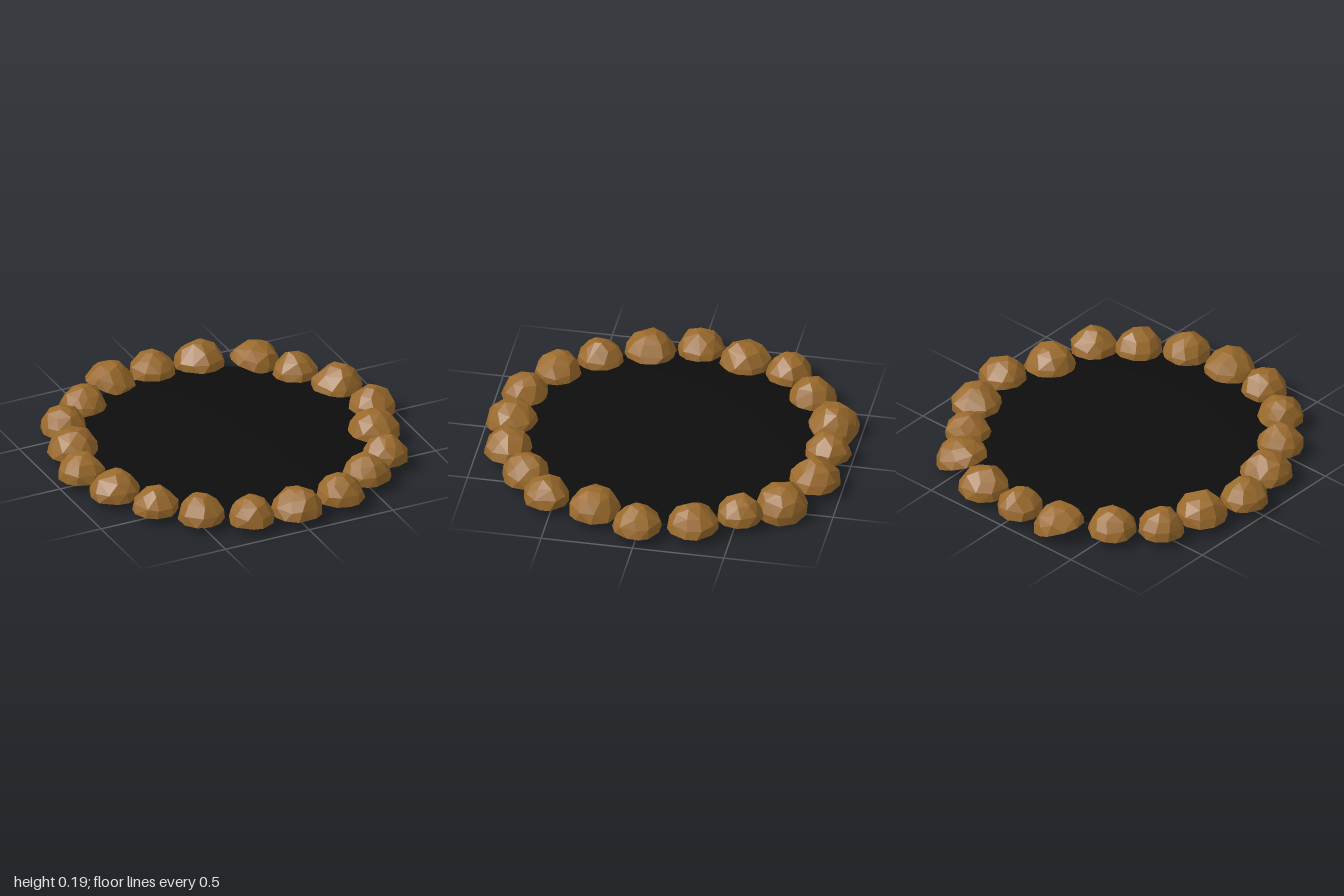
import * as THREE from 'three';
import { ConvexGeometry } from 'three/addons/geometries/ConvexGeometry.js';

const stoneMaterial = new THREE.MeshStandardMaterial({ color: 0x9a6a2c, flatShading: true });
const ashMaterial = new THREE.MeshStandardMaterial({ color: 0x0d0d0d });

// Seeded jitter in the range -1..1
function jitter(seed) {
  let s = seed * 7919 + 17;
  return () => {
    s = (s * 16807) % 2147483647;
    return (s / 2147483647) * 2 - 1;
  };
}

// Half-round faceted rock of unit radius with a flat base at y = 0
function rockGeometry(seed) {
  const rnd = jitter(seed);
  for (let i = 0; i < 5; i++) rnd();
  const points = [];
  // [height, radius, corners, roughness]
  const rings = [[0, 0.98, 11, 0.03], [0.36, 0.92, 9, 0.05], [0.72, 0.64, 7, 0.06], [0.95, 0.27, 4, 0.05]];
  for (const [y, r, n, rough] of rings) {
    const turn = rnd() * Math.PI;
    for (let i = 0; i < n; i++) {
      const a = turn + ((i + rnd() * 0.22) / n) * Math.PI * 2;
      const rr = r + rnd() * rough;
      points.push(new THREE.Vector3(Math.cos(a) * rr, y > 0 ? y + rnd() * rough : 0, Math.sin(a) * rr));
    }
  }
  return new ConvexGeometry(points);
}

// x, z, radius and sideways tilt of every stone in the ring
const stones = [
  [-0.29, -0.85, 0.145, -0.36], [-0.02, -0.87, 0.13], [0.25, -0.855, 0.145],
  [0.52, -0.725, 0.145, -0.33], [0.66, -0.52, 0.13], [0.8, -0.29, 0.145],
  [0.865, 0, 0.135], [0.75, 0.255, 0.145], [0.685, 0.53, 0.13],
  [0.5, 0.68, 0.135], [0.275, 0.82, 0.135], [0, 0.855, 0.145],
  [-0.265, 0.835, 0.13], [-0.5, 0.7, 0.13], [-0.675, 0.5, 0.13],
  [-0.795, 0.25, 0.145], [-0.867, -0.01, 0.133], [-0.79, -0.27, 0.145],
  [-0.725, -0.52, 0.13], [-0.525, -0.69, 0.135],
];

export function createModel() {
  const model = new THREE.Group();
  model.name = 'firePit';

  // Shallow lens of dark ash filling the ring
  const ash = new THREE.Mesh(new THREE.SphereGeometry(0.85, 64, 24), ashMaterial);
  ash.name = 'ashBed';
  ash.scale.y = 0.03 / 0.85;
  ash.position.y = 0.05;
  model.add(ash);

  // Ring of rocks, two of them tipped over
  const ring = new THREE.Group();
  ring.name = 'stoneRing';
  stones.forEach(([x, z, r, tilt = 0], i) => {
    const stone = new THREE.Mesh(rockGeometry(i + 1), stoneMaterial);
    stone.name = `stone${i + 1}`;
    stone.scale.set(r, 0.138, r);
    stone.position.set(x, 0.05, z);
    stone.rotation.z = tilt;
    ring.add(stone);
  });
  model.add(ring);
  return model;
}
